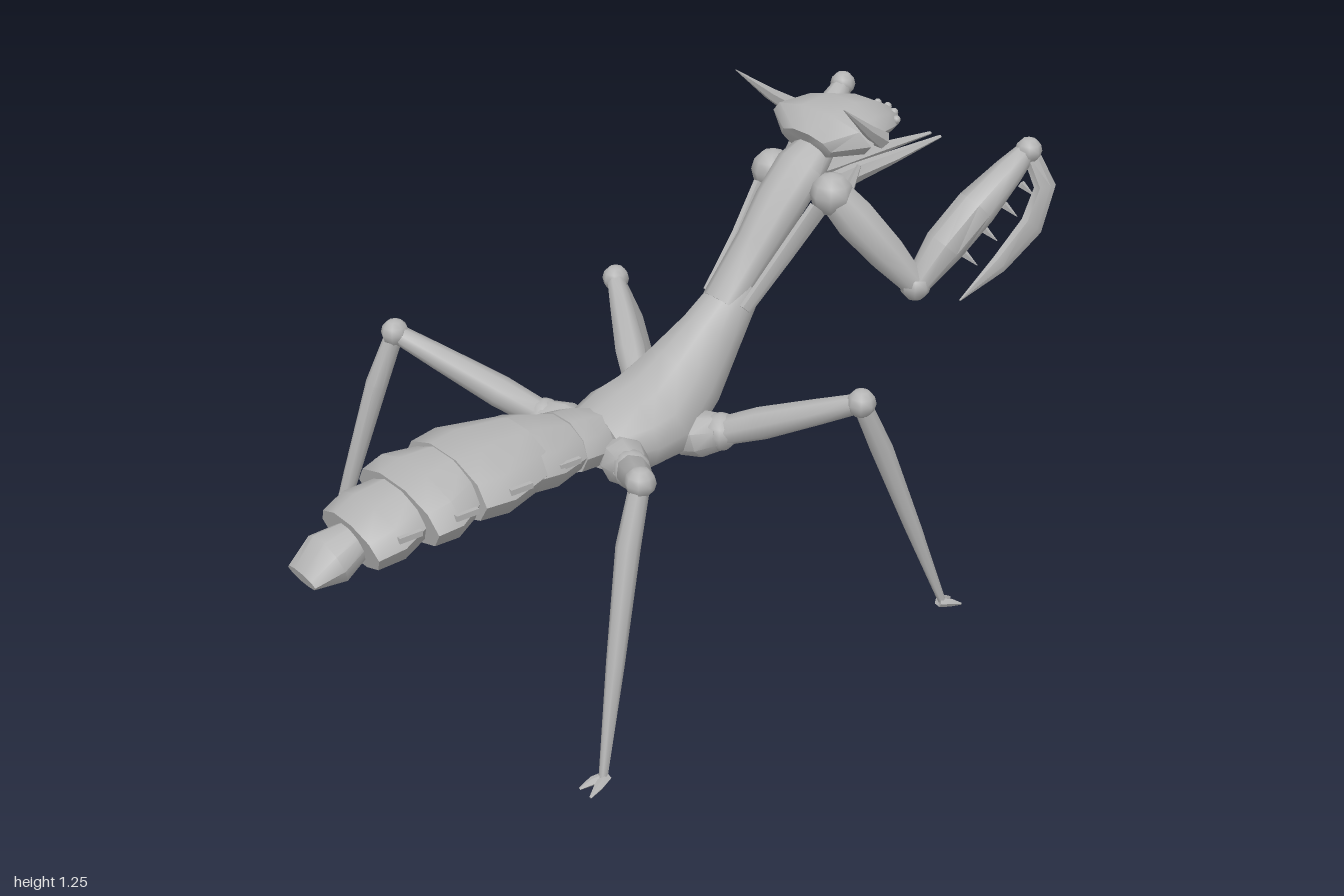
import * as THREE from 'three';
import { toCreasedNormals } from 'three/addons/utils/BufferGeometryUtils.js';

const V = (x, y, z) => new THREE.Vector3(x, y, z);

export function createModel() {
  const model = new THREE.Group();
  model.name = 'mantis';
  const chitin = new THREE.MeshStandardMaterial({ color: 0xb4b4b4 });
  chitin.name = 'grey chitin';

  const add = (name, geometry, parent = model) => {
    const mesh = new THREE.Mesh(geometry, chitin);
    mesh.name = name;
    parent.add(mesh);
    return mesh;
  };

  // Closed skin over elliptical rings; each ring is [x, y, z, halfWidth, halfHeight]
  function loft(rings, sides = 8, crease = 0.8) {
    const centres = rings.map((r) => V(r[0], r[1], r[2]));
    const span = centres[centres.length - 1].clone().sub(centres[0]).normalize();
    const ref = Math.abs(span.x) > 0.85 ? V(0, 0, 1) : V(1, 0, 0);
    const pos = [], index = [], n = rings.length;
    rings.forEach(([, , , a, b = a], i) => {
      const t = centres[Math.min(i + 1, n - 1)].clone().sub(centres[Math.max(i - 1, 0)]).normalize();
      const s = ref.clone().addScaledVector(t, -ref.dot(t)).normalize();
      const u = t.clone().cross(s);
      for (let j = 0; j < sides; j++) {
        const q = (j / sides) * Math.PI * 2;
        const p = centres[i].clone().addScaledVector(s, a * Math.cos(q)).addScaledVector(u, b * Math.sin(q));
        pos.push(p.x, p.y, p.z);
      }
    });
    for (let i = 0; i < n - 1; i++) {
      for (let j = 0; j < sides; j++) {
        const k = (j + 1) % sides, o = i * sides;
        index.push(o + j, o + k, o + sides + j, o + k, o + sides + k, o + sides + j);
      }
    }
    const first = pos.length / 3;
    for (const c of [centres[0], centres[n - 1]]) pos.push(c.x, c.y, c.z);
    for (let j = 0; j < sides; j++) {
      const k = (j + 1) % sides, o = (n - 1) * sides;
      index.push(first, k, j, first + 1, o + j, o + k);
    }
    const g = new THREE.BufferGeometry();
    g.setAttribute('position', new THREE.Float32BufferAttribute(pos, 3));
    g.setIndex(index);
    return toCreasedNormals(g, crease);
  }

  const ball = (name, r, x, y, z, parent) =>
    add(name, new THREE.SphereGeometry(r, 8, 6), parent).position.set(x, y, z);

  // Thorax and long neck, rising toward the head
  add('thorax', loft([
    [0, 0.485, 0.18, 0.11, 0.075], [0, 0.488, 0.09, 0.142, 0.105], [0, 0.5, 0, 0.14, 0.118],
    [0, 0.575, -0.1, 0.112, 0.108], [0, 0.665, -0.19, 0.08, 0.085], [0, 0.775, -0.285, 0.062, 0.052],
  ], 12));
  add('neck', loft([
    [0, 0.74, -0.22, 0.055, 0.045], [0, 0.87, -0.335, 0.058, 0.053], [0, 0.96, -0.405, 0.068, 0.06],
    [0, 1.04, -0.475, 0.072, 0.055], [0, 1.105, -0.555, 0.045, 0.035], [0, 1.13, -0.6, 0.03, 0.02],
  ], 10));

  // Overlapping abdomen plates: [zStart, zEnd, yStart, yEnd, w0, w1, w2, h0, h1, h2]
  [
    [0.13, 0.28, 0.5, 0.51, 0.06, 0.105, 0.11, 0.05, 0.07, 0.07],
    [0.24, 0.44, 0.51, 0.525, 0.09, 0.145, 0.145, 0.055, 0.08, 0.078],
    [0.4, 0.61, 0.53, 0.52, 0.135, 0.182, 0.17, 0.075, 0.087, 0.08],
    [0.57, 0.74, 0.525, 0.495, 0.12, 0.18, 0.17, 0.075, 0.085, 0.075],
    [0.69, 0.87, 0.505, 0.455, 0.1, 0.138, 0.122, 0.065, 0.075, 0.065],
    [0.8, 1.0, 0.475, 0.405, 0.035, 0.076, 0.06, 0.035, 0.062, 0.02],
  ].forEach(([z0, z1, y0, y1, w0, w1, w2, h0, h1, h2], i) => {
    const at = (k) => [0, y0 + (y1 - y0) * k, z0 + (z1 - z0) * k];
    add(`abdomenSegment${i + 1}`, loft([
      [...at(0), w0, h0], [...at(0.65), w1, h1], [...at(1), w2, h2],
    ], 10));
    // small breathing ridges on the flanks
    if (i > 0 && i < 5) for (const s of [-1, 1]) {
      const [, y, z] = at(0.55);
      add('flankRidge', new THREE.BoxGeometry(0.012, 0.014, 0.06)).position.set(s * (w1 - 0.012), y + 0.015, z);
    }
  });

  // Wedge-shaped head, broad at the eyes and narrow at the snout
  add('head', loft([
    [0, 1.11, -0.775, 0.025, 0.018], [0, 1.118, -0.745, 0.07, 0.032], [0, 1.132, -0.68, 0.115, 0.048],
    [0, 1.142, -0.61, 0.148, 0.053], [0, 1.128, -0.54, 0.18, 0.055], [0, 1.1, -0.49, 0.09, 0.04],
  ], 10));
  for (const x of [-0.09, -0.055, -0.018, 0.018, 0.055, 0.09])
    ball('smallEye', 0.011, x, 1.145 - x * x, -0.752 + x * x * 5);

  for (const s of [-1, 1]) {
    const side = s > 0 ? 'left' : 'right';
    const part = (name, rings, sides) =>
      add(side + name, loft(rings.map(([x, ...r]) => [x * s, ...r]), sides));

    // Eye horns and mouth prongs
    part('Horn', [[0.168, 1.135, -0.585, 0.024], [0.18, 1.175, -0.525, 0.016], [0.197, 1.252, -0.425, 0.001]], 6);
    part('Prong', [
      [0.05, 0.99, -0.5, 0.022, 0.03], [0.04, 1.0, -0.62, 0.023, 0.026],
      [0.034, 1.01, -0.76, 0.021, 0.016], [0.018, 1.02, -0.95, 0.005, 0.004],
    ], 6);
    part('CheekSpike', [[0.11, 1.0, -0.54, 0.014], [0.12, 1.06, -0.56, 0.006]], 5);

    // Slim plate along the neck
    part('NeckPlate', [
      [0.07, 0.74, -0.24, 0.012, 0.02], [0.085, 0.86, -0.35, 0.014, 0.026], [0.105, 0.97, -0.44, 0.014, 0.03],
    ], 6);

    // Grasping foreleg
    ball(side + 'Shoulder', 0.055, s * 0.11, 1.0, -0.48);
    part('ForeUpper', [
      [0.1, 1.01, -0.48, 0.045], [0.15, 0.935, -0.525, 0.056], [0.21, 0.85, -0.58, 0.05], [0.265, 0.77, -0.63, 0.034],
    ]);
    ball(side + 'ForeElbow', 0.04, s * 0.265, 0.767, -0.632);
    part('ForeFemur', [
      [0.268, 0.775, -0.64, 0.034], [0.285, 0.86, -0.705, 0.052], [0.307, 0.95, -0.79, 0.053],
      [0.325, 1.03, -0.88, 0.038], [0.335, 1.075, -0.93, 0.026],
    ]);
    ball(side + 'ForeWrist', 0.034, s * 0.338, 1.077, -0.932);
    part('ForeBlade', [
      [0.34, 1.075, -0.935, 0.018, 0.022], [0.375, 0.985, -0.962, 0.02, 0.034], [0.378, 0.89, -0.92, 0.02, 0.04],
      [0.37, 0.81, -0.82, 0.016, 0.028], [0.36, 0.74, -0.695, 0.002, 0.002],
    ], 6);
    for (const k of [0.25, 0.45, 0.65, 0.82]) {
      const x = 0.275 + 0.06 * k, y = 0.79 + 0.28 * k, z = -0.665 - 0.27 * k;
      part('FemurSpine', [[x + 0.02, y - 0.025, z - 0.02, 0.011], [x + 0.045, y - 0.055, z - 0.045, 0.001]], 5);
    }

    // Walking legs: hip, upper leg, knee, shin and forked foot
    const leg = (name, hip, base, knee, bend, foot) => {
      const dir = Math.sign(foot[2]);
      const mix = (a, b, k) => a.map((v, i) => v + (b[i] - v) * k);
      part(name + 'Hip', [[...hip, 0.05], [...mix(hip, base, 0.5), 0.06], [...base, 0.046]]);
      ball(side + name + 'HipJoint', 0.048, s * base[0], base[1], base[2]);
      part(name + 'Femur', [
        [...base, 0.036], [...mix(base, knee, 0.3), 0.041], [...mix(base, knee, 0.7), 0.032], [...knee, 0.024],
      ]);
      ball(side + name + 'Knee', 0.036, s * knee[0], knee[1], knee[2]);
      part(name + 'Shin', [
        [...knee, 0.023], [...bend, 0.028], [...mix(bend, foot, 0.5), 0.021], [...foot, 0.01],
      ]);
      const [x, y, z] = foot;
      for (const d of [-1, 1]) part(name + 'Claw', [
        [x, y, z - dir * 0.01, 0.013], [x + d * 0.012, 0.016, z + dir * 0.02, 0.011],
        [x + d * 0.02, 0.004, z + dir * 0.05, 0.003],
      ], 5);
    };
    leg('Middle', [0.07, 0.46, -0.03], [0.165, 0.49, -0.085], [0.475, 0.637, -0.255], [0.485, 0.5, -0.32], [0.54, 0.022, -0.51]);
    leg('Hind', [0.07, 0.47, 0.16], [0.175, 0.485, 0.2], [0.495, 0.665, 0.425], [0.515, 0.53, 0.475], [0.594, 0.022, 0.61]);
  }

  return model;
}
